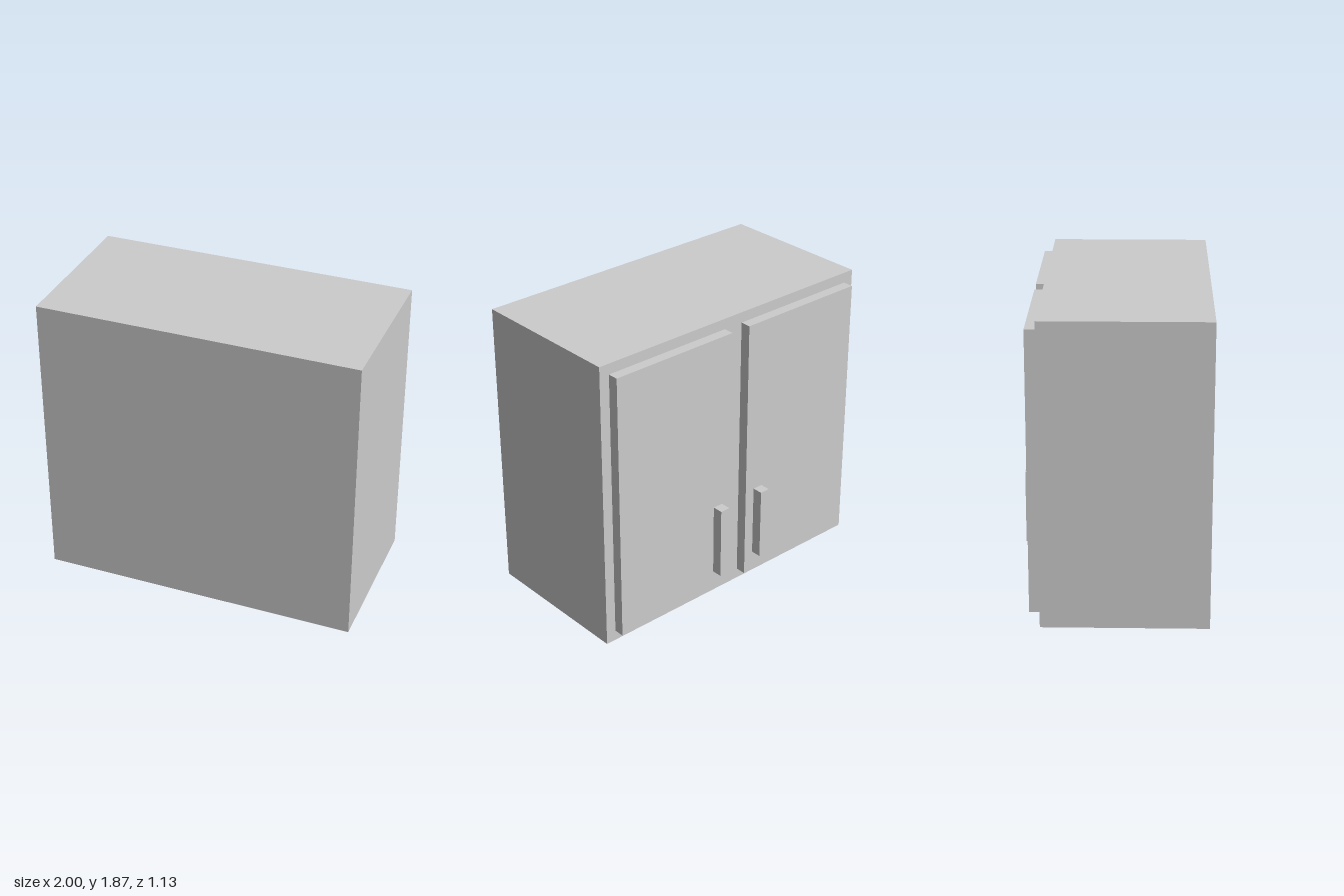
import * as THREE from 'three';

const U = 1 / 15; // door thickness, frame margin and handle width

export function createModel() {
  const model = new THREE.Group();
  model.name = 'wallCabinet';
  const grey = new THREE.MeshStandardMaterial({ color: 0xcccccc });
  grey.name = 'light grey';

  // Box given by its minimum and maximum corners
  function addBox(name, [x0, y0, z0], [x1, y1, z1]) {
    const mesh = new THREE.Mesh(new THREE.BoxGeometry(x1 - x0, y1 - y0, z1 - z0), grey);
    mesh.position.set((x0 + x1) / 2, (y0 + y1) / 2, (z0 + z1) / 2);
    mesh.name = name;
    model.add(mesh);
  }

  // Cabinet body
  const face = -6.5 * U;
  addBox('cabinetBody', [-1, 0, face], [1, 28 * U, 8.5 * U]);

  // Pair of doors on the -z side, each with an upright handle near the middle
  for (const [side, s] of [['left', 1], ['right', -1]]) {
    const span = (a, b) => (s > 0 ? [a, b] : [-b, -a]);
    const [d0, d1] = span(U, 14 * U);
    addBox(side + 'Door', [d0, U, face - U], [d1, 27 * U, face]);
    const [h0, h1] = span(2 * U, 3 * U);
    addBox(side + 'Handle', [h0, 3 * U, face - 2 * U], [h1, 10 * U, face - U]);
  }
  return model;
}
